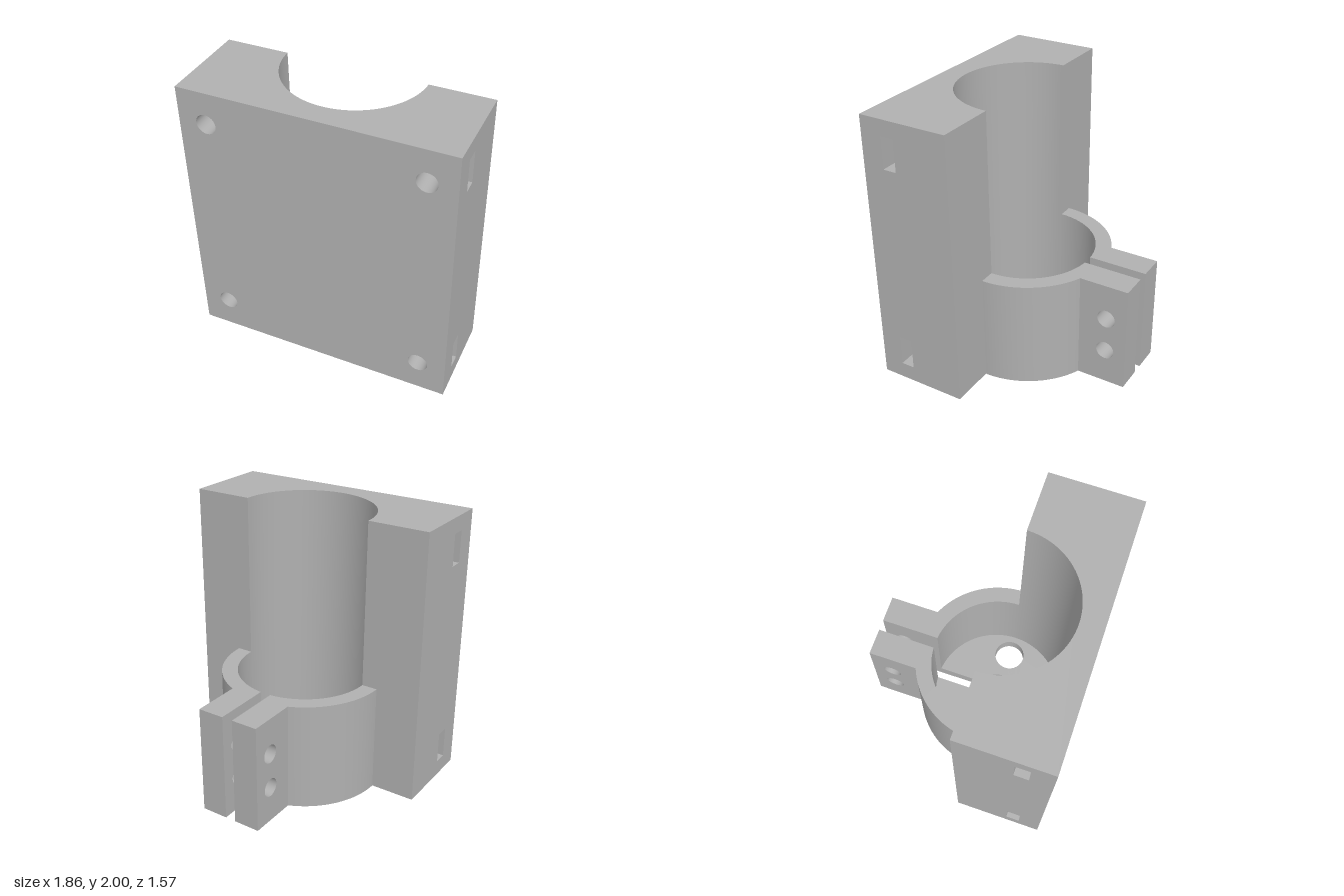
import * as THREE from 'three';
import { mergeGeometries, toCreasedNormals } from 'three/addons/utils/BufferGeometryUtils.js';

const V = (x, y) => new THREE.Vector2(x, y);
const PI = Math.PI;

// Main dimensions
const W = 0.93, FRONT = 0.785, BACK = -0.785, C = 0.135; // C: z of the bore axis and block back
const TOP = 2, CLAMP = 0.8, FLOOR = 0.1;
const BORE = 0.49, RING = 0.605, HOLE = 0.145, SLIT = 0.04, TAB = 0.235;

// 2D helpers
const arc = (cx, cy, r, a0, a1, n = 48) => Array.from({ length: n + 1 }, (_, i) => {
  const a = a0 + (a1 - a0) * i / n;
  return V(cx + r * Math.cos(a), cy + r * Math.sin(a));
});
const circle = (x, y, r) => arc(x, y, r, 0, 2 * PI, 32);
const rect = (x0, y0, x1, y1) => [V(x0, y0), V(x1, y0), V(x1, y1), V(x0, y1)];
const flip = (pts) => pts.map((p) => V(-p.x, p.y)).reverse();

// Lays a 2D drawing across an axis: 'z' draws (x, y), 'y' draws (x, z), 'x' draws (z, y)
function orient(geo, axis) {
  if (axis === 'y') geo.rotateX(PI / 2);
  if (axis === 'x') geo.rotateY(-PI / 2);
  return geo;
}
const local = (axis, d) => (axis === 'z' ? d : -d);

// Flat face with holes at distance d along the axis
function face(axis, d, outline, holes = []) {
  const s = new THREE.Shape(outline);
  holes.forEach((h) => s.holes.push(new THREE.Path(h.slice(0, -1))));
  const g = new THREE.ShapeGeometry(s).toNonIndexed();
  g.deleteAttribute('uv');
  return orient(g.translate(0, 0, local(axis, d)), axis);
}

// Wall following a 2D path, from d0 to d1 along the axis
function wall(axis, d0, d1, pts) {
  const a = local(axis, d0), b = local(axis, d1), pos = [];
  for (let i = 0; i + 1 < pts.length; i++) {
    const p = pts[i], q = pts[i + 1];
    pos.push(p.x, p.y, a, q.x, q.y, a, q.x, q.y, b, p.x, p.y, a, q.x, q.y, b, p.x, p.y, b);
  }
  const g = new THREE.BufferGeometry();
  g.setAttribute('position', new THREE.Float32BufferAttribute(pos, 3));
  g.computeVertexNormals();
  return orient(g, axis);
}

export function createModel() {
  const group = new THREE.Group();
  const grey = new THREE.MeshStandardMaterial({ color: 0xb0b0b0, side: THREE.DoubleSide });
  grey.name = 'plain grey';
  const add = (name, geos) => {
    const m = new THREE.Mesh(toCreasedNormals(mergeGeometries(geos), 0.5), grey);
    m.name = name;
    group.add(m);
  };

  // Shared outlines, seen from above
  const tabZ = C - Math.sqrt(RING ** 2 - TAB ** 2);
  const boreZ = C - Math.sqrt(BORE ** 2 - SLIT ** 2);
  const holeZ = C - Math.sqrt(HOLE ** 2 - SLIT ** 2);
  const slitAngle = Math.asin(SLIT / BORE), holeSlit = Math.asin(SLIT / HOLE);
  const clampOuter = [V(SLIT, BACK), V(TAB, BACK), ...arc(0, C, RING, -Math.acos(TAB / RING), 0)];
  const clampInner = arc(0, C, BORE, 0, slitAngle - PI / 2);
  const centreHole = arc(0, C, HOLE, -PI / 2 - holeSlit, -2.5 * PI + holeSlit);
  const sideHoles = [-0.33, 0.33].map((x) => circle(x, C, 0.115));
  const boltXs = [-0.735, 0.735], boltYs = [0.235, 1.77];

  // Block: front, sides, back strips and top
  const front = face('z', FRONT, rect(-W, 0, W, TOP),
    boltXs.flatMap((x) => boltYs.map((y) => circle(x, y, 0.07))));
  const slots = boltYs.map((y) => [...rect(0.53, y - 0.115, 0.63, y + 0.115), V(0.53, y - 0.115)]);
  const block = [front, face('y', TOP, [V(BORE, C), V(W, C), V(W, FRONT), V(-W, FRONT), V(-W, C),
    ...arc(0, C, BORE, PI, 0)])];
  for (const s of [-1, 1]) {
    block.push(face('x', s * W, rect(C, 0, FRONT, TOP), slots));
    block.push(wall('y', CLAMP, TOP, [V(s * BORE, C), V(s * W, C)]));
    block.push(wall('y', 0, CLAMP, [V(s * RING, C), V(s * W, C)]));
  }
  add('block', block);

  // Bore lining and perforated floor
  add('bore', [wall('y', FLOOR, TOP, arc(0, C, BORE, 0, PI))]);
  const floor = [
    face('y', 0, [...clampOuter, V(W, C), V(W, FRONT), V(-W, FRONT), V(-W, C),
      ...flip(clampOuter), ...centreHole], sideHoles),
    face('y', FLOOR, [...arc(0, C, BORE, slitAngle - PI / 2, 1.5 * PI - slitAngle), ...centreHole], sideHoles),
    wall('y', 0, FLOOR, centreHole),
    ...sideHoles.map((h) => wall('y', 0, FLOOR, h)),
  ];
  for (const s of [-1, 1]) floor.push(wall('y', 0, FLOOR, [V(s * SLIT, boreZ), V(s * SLIT, holeZ)]));
  add('floor', floor);

  // Split clamp: two mirrored jaws with drilled tabs
  const screwHoles = [0.267, 0.533].map((y) => circle(-0.63, y, 0.068));
  for (const s of [-1, 1]) {
    const side = (pts) => (s < 0 ? flip(pts) : pts);
    add(s > 0 ? 'leftClampJaw' : 'rightClampJaw', [
      face('y', CLAMP, side([...clampOuter, ...clampInner])),
      wall('y', 0, CLAMP, side(clampOuter.slice(0, 2))),
      wall('y', 0, CLAMP, side(clampOuter.slice(2))),
      wall('y', FLOOR, CLAMP, side(clampInner)),
      face('x', s * SLIT, rect(BACK, 0, boreZ, CLAMP), screwHoles),
      face('x', s * TAB, rect(BACK, 0, tabZ, CLAMP), screwHoles),
      ...screwHoles.map((h) => wall('x', s * SLIT, s * TAB, h)),
    ]);
  }

  // Blind bolt holes crossing the nut slots
  for (const x of boltXs) {
    for (const y of boltYs) {
      const s = Math.sign(x), hole = circle(x, y, 0.07);
      const pocket = [V(s * W, y - 0.115), V(s * 0.62, y - 0.115), V(s * 0.62, y + 0.115), V(s * W, y + 0.115)];
      add('boltHole', [wall('z', 0.63, FRONT, hole), wall('z', 0.4, 0.53, hole), face('z', 0.4, hole.slice(0, -1))]);
      add('nutSlot', [wall('z', 0.53, 0.63, pocket), face('z', 0.53, pocket, [hole]), face('z', 0.63, pocket, [hole])]);
    }
  }
  return group;
}
